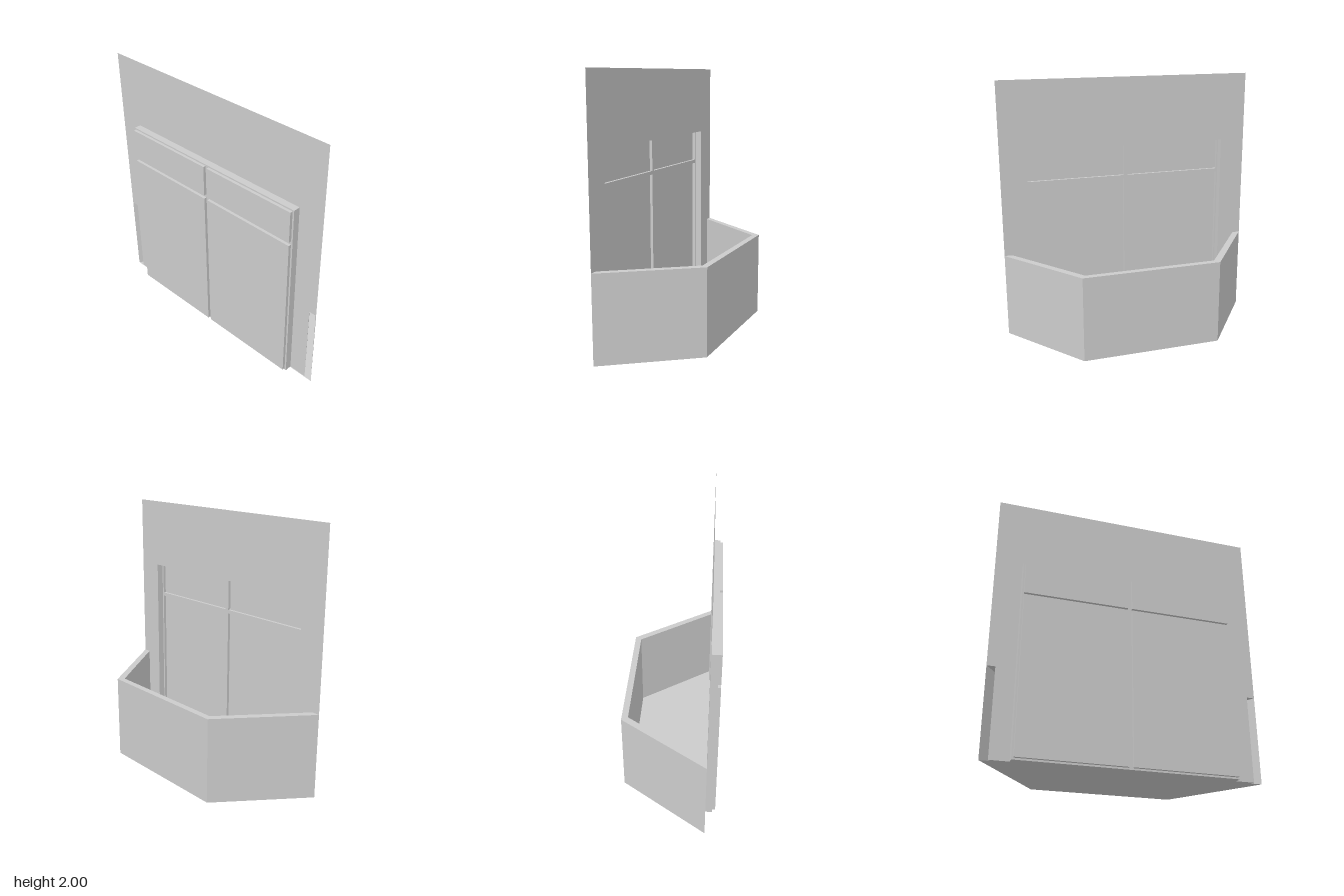
import * as THREE from 'three';

const WALL_X = -0.285, FRAME_X = -0.338, PANE_X = -0.36;
const FLOOR = 0.007, RAIL = 0.655;

// Ribbon of flat quads joining two matching paths of [x, y, z] points
function strip(a, b) {
  const pos = [];
  for (let i = 0; i < a.length - 1; i++) {
    pos.push(...a[i], ...a[i + 1], ...b[i + 1], ...a[i], ...b[i + 1], ...b[i]);
  }
  const geo = new THREE.BufferGeometry();
  geo.setAttribute('position', new THREE.Float32BufferAttribute(pos, 3));
  geo.computeVertexNormals();
  return geo;
}

// Closed rectangular outline in the plane x
function rectLoop(x, z0, z1, y0, y1) {
  return [[x, y0, z0], [x, y0, z1], [x, y1, z1], [x, y1, z0], [x, y0, z0]];
}

// Flat sheet in the plane x, facing +x (shape x axis runs along -z)
function sheet(shape, x) {
  return new THREE.ShapeGeometry(shape).rotateY(Math.PI / 2).translate(x, 0, 0);
}

const points = (list) => list.map(([x, y]) => new THREE.Vector2(x, y));

export function createModel() {
  const group = new THREE.Group();
  const material = new THREE.MeshStandardMaterial({
    color: 0xcccccc, flatShading: true, side: THREE.DoubleSide,
  });
  const add = (name, geo, parent = group) => {
    const mesh = new THREE.Mesh(geo, material);
    mesh.name = name;
    parent.add(mesh);
  };

  // Thin facade with a door opening, notched where the hollow parapet meets it
  const half = [[0.802, FLOOR], [0.94, FLOOR], [0.94, RAIL], [1, RAIL], [1, 2]];
  const mirrored = half.map(([z, y]) => [-z, y]).reverse();
  add('facadeWall', sheet(new THREE.Shape(points([
    ...half, ...mirrored, [-0.802, 1.466], [0.802, 1.466],
  ])), WALL_X));

  // Door reveal and frame
  const door = [-0.802, 0.802, FLOOR, 1.466];
  add('doorReveal', strip(rectLoop(FRAME_X, ...door), rectLoop(WALL_X, ...door)));
  const frame = new THREE.Shape(points([
    [-0.802, FLOOR], [0.802, FLOOR], [0.802, 1.466], [-0.802, 1.466],
  ]));

  // Four recessed panes: two tall doors with transoms above
  for (const [z0, z1] of [[-0.789, -0.015], [0.015, 0.789]]) {
    for (const [y0, y1, name] of [[0.02, 1.188, 'doorPane'], [1.216, 1.455, 'transomPane']]) {
      frame.holes.push(new THREE.Path(points([[-z0, y0], [-z0, y1], [-z1, y1], [-z1, y0]])));
      const pane = new THREE.Group();
      pane.name = name;
      group.add(pane);
      add(name + 'Edge', strip(rectLoop(PANE_X, z0, z1, y0, y1), rectLoop(FRAME_X, z0, z1, y0, y1)), pane);
      add(name + 'Face', strip(
        [[PANE_X, y0, z1], [PANE_X, y0, z0]], [[PANE_X, y1, z1], [PANE_X, y1, z0]],
      ), pane);
    }
  }
  add('doorFrame', sheet(frame, FRAME_X));

  // Balcony with a trapezoid plan
  const plan = (zWall, x, z, y) => [[WALL_X, y, zWall], [x, y, z], [x, y, -z], [WALL_X, y, -zWall]];
  const outer = (y) => plan(1, 0.355, 0.535, y);
  const inner = (y) => plan(0.94, 0.307, 0.505, y);
  add('parapetOuter', strip(outer(0), outer(RAIL)));
  add('parapetInner', strip(inner(FLOOR).reverse(), inner(RAIL).reverse()));
  add('parapetTop', strip(outer(RAIL), inner(RAIL)));

  // Floor and underside
  const [f0, f1, f2, f3] = inner(FLOOR);
  add('balconyFloor', strip([f0, f1], [f3, f2]));
  const [u0, u1, u2, u3] = outer(0);
  add('balconyUnderside', strip([u3, u2], [u0, u1]));

  return group;
}
